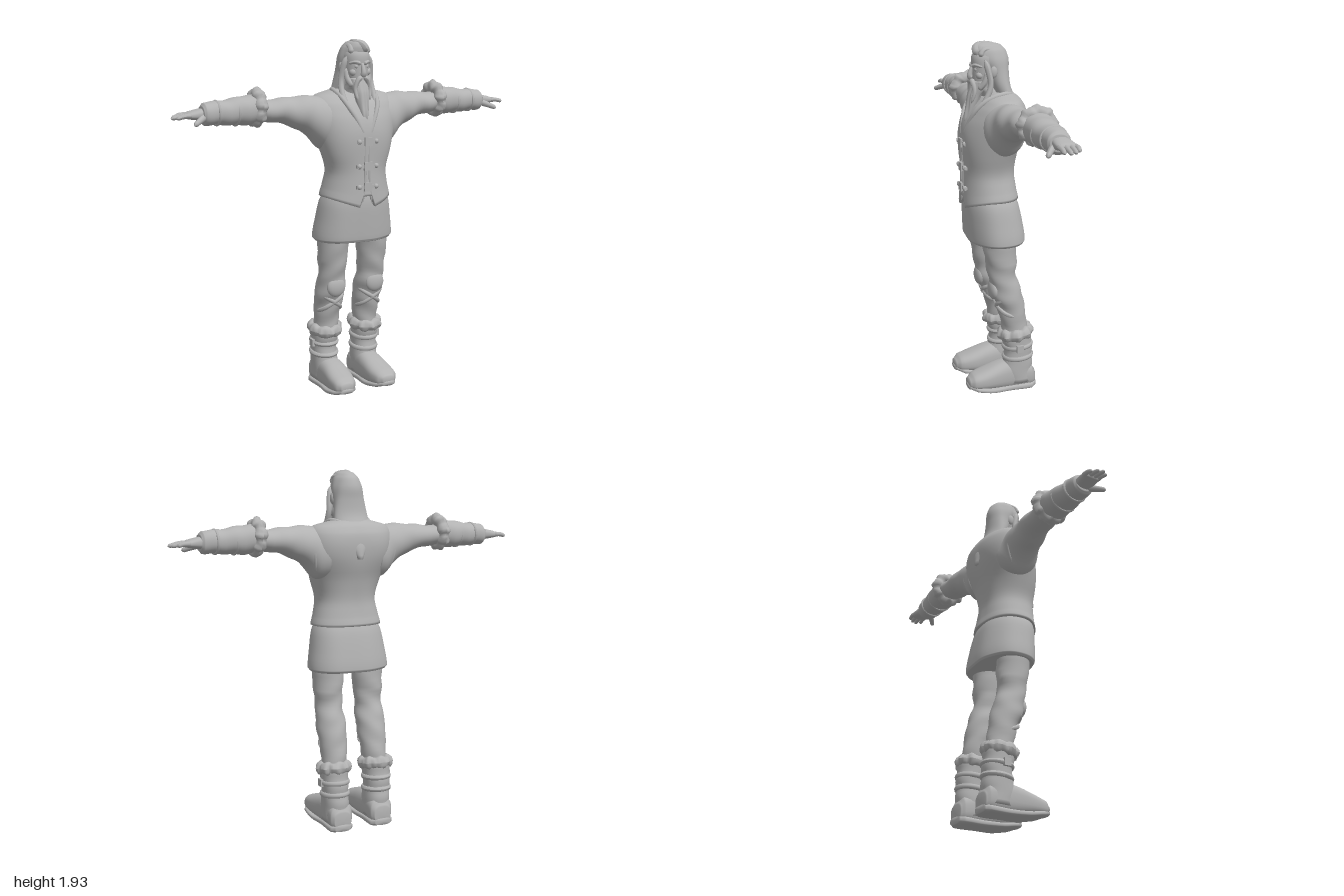
import * as THREE from 'three';

const clay = new THREE.MeshStandardMaterial({ color: 0xb2b2b2, side: THREE.DoubleSide });
clay.name = 'clay grey';

// Smooth skin over superelliptic sections [pos, cu, cv, ru, rv], in rising order.
// (u, v) is (z, x) for axis y, (y, z) for axis x and (x, y) for axis z.
function loft(axis, rows, { seg = 36, n = 2, sub = 4, warp = null } = {}) {
  const pos = [], idx = [], rings = [];
  const steps = (rows.length - 1) * sub;
  for (let i = 0; i <= steps; i++) {
    const k = Math.min(Math.floor(i / sub), rows.length - 2), t = i / sub - k;
    const at = (r) => rows[Math.max(0, Math.min(rows.length - 1, r))];
    rings.push(rows[0].map((_, c) => c === 0
      ? at(k)[0] + (at(k + 1)[0] - at(k)[0]) * t
      : catmull(at(k - 1)[c], at(k)[c], at(k + 1)[c], at(k + 2)[c], t)));
  }
  const put = (p, u, v) => {
    const q = axis === 'y' ? [v, p, u] : axis === 'x' ? [p, u, v] : [u, v, p];
    const w = new THREE.Vector3(...q);
    if (warp) warp(w);
    pos.push(w.x, w.y, w.z);
  };
  const pw = (c) => Math.sign(c) * Math.abs(c) ** (2 / n);
  for (const [p, cu, cv, ru, rv] of rings)
    for (let j = 0; j < seg; j++) {
      const a = (j / seg) * Math.PI * 2;
      put(p, cu + ru * pw(Math.cos(a)), cv + rv * pw(Math.sin(a)));
    }
  for (let i = 0; i < steps; i++)
    for (let j = 0; j < seg; j++) {
      const a = i * seg + j, b = i * seg + (j + 1) % seg;
      idx.push(a, b, a + seg, b, b + seg, a + seg);
    }
  const first = rings[0], last = rings[steps], c = pos.length / 3;
  put(first[0], first[1], first[2]);
  put(last[0], last[1], last[2]);
  for (let j = 0; j < seg; j++) {
    const k = (j + 1) % seg;
    idx.push(c, k, j, c + 1, steps * seg + j, steps * seg + k);
  }
  const g = new THREE.BufferGeometry();
  g.setAttribute('position', new THREE.Float32BufferAttribute(pos, 3));
  g.setIndex(idx);
  g.computeVertexNormals();
  return g;
}
function catmull(a, b, c, d, t) {
  const m0 = (c - a) / 2, m1 = (d - b) / 2, t2 = t * t, t3 = t2 * t;
  return (2 * t3 - 3 * t2 + 1) * b + (t3 - 2 * t2 + t) * m0 + (3 * t2 - 2 * t3) * c + (t3 - t2) * m1;
}

// Tapered strand with rounded ends through a few points
function strand(points, r0, r1 = r0, seg = 16) {
  const path = new THREE.CatmullRomCurve3(points.map((p) => new THREE.Vector3(...p)));
  const g = new THREE.TubeGeometry(path, seg, 1, 10);
  const p = g.attributes.position, v = new THREE.Vector3();
  for (let i = 0; i < p.count; i++) {
    const t = Math.floor(i / 11) / seg, c = path.getPointAt(t);
    const end = Math.sqrt(Math.max(0, Math.min(1, t * seg / 2, (1 - t) * seg / 2)));
    v.fromBufferAttribute(p, i).sub(c).multiplyScalar((r0 + (r1 - r0) * t) * end).add(c);
    p.setXYZ(i, v.x, v.y, v.z);
  }
  g.computeVertexNormals();
  return g;
}

// Lumpy fur ring lying around the z axis
function furRing(R, r) {
  const g = new THREE.TorusGeometry(R, r, 12, 56), p = g.attributes.position;
  for (let i = 0; i < p.count; i++) {
    const a = Math.atan2(p.getY(i), p.getX(i));
    const k = 1 + 0.05 * Math.sin(9 * a + 40 * p.getZ(i)) + 0.03 * Math.sin(17 * a);
    p.setXYZ(i, p.getX(i) * k, p.getY(i) * k, p.getZ(i) * (1 + 0.15 * Math.sin(7 * a)));
  }
  g.computeVertexNormals();
  return g;
}

function mirrored(geo) {
  const g = geo.clone().scale(-1, 1, 1), ix = g.index;
  for (let i = 0; i < ix.count; i += 3) {
    const a = ix.getX(i);
    ix.setX(i, ix.getX(i + 1));
    ix.setX(i + 1, a);
  }
  g.computeVertexNormals();
  return g;
}

export function createModel() {
  const model = new THREE.Group();
  model.name = 'bearded man';
  const add = (name, geo) => {
    const m = new THREE.Mesh(geo, clay);
    m.name = name;
    model.add(m);
  };
  const pair = (name, geo) => { add(name + 'Left', geo); add(name + 'Right', mirrored(geo)); };

  // Vest: the front hem drops to two points with a notch between them
  add('vest', loft('y', [
    [1.11, 0.028, 0, 0.15, 0.195], [1.16, 0.033, 0, 0.143, 0.182], [1.25, 0.04, 0, 0.137, 0.166],
    [1.35, 0.033, 0, 0.147, 0.193], [1.45, 0.015, 0, 0.162, 0.225], [1.53, 0.002, 0, 0.158, 0.242],
    [1.6, -0.012, 0, 0.135, 0.238], [1.645, -0.022, 0, 0.1, 0.205], [1.675, -0.03, 0, 0.06, 0.1],
  ], { seg: 64, n: 2.25, warp: (p) => {
    const low = Math.max(0, 1 - (p.y - 1.11) / 0.1);
    const x = Math.abs(p.x);
    if (p.z > 0.04) p.y -= low * (x < 0.03 ? -0.01 : 0.055 * Math.max(0, 1 - (x - 0.03) / 0.16));
    p.z += 0.003 * Math.sin(18 * p.y + 14 * x);
  } }));
  pair('collar', strand([[0.07, 1.66, -0.09], [0.105, 1.67, -0.02], [0.105, 1.645, 0.065], [0.085, 1.59, 0.125],
    [0.045, 1.51, 0.158], [0.012, 1.43, 0.174]], 0.014, 0.011, 24));
  pair('frontEdge', strand([[0.012, 1.43, 0.173], [0.012, 1.3, 0.173], [0.014, 1.2, 0.173], [0.028, 1.08, 0.172]], 0.008));
  pair('armhole', strand([[0.215, 1.4, 0.05], [0.235, 1.5, 0.085], [0.235, 1.58, 0.07], [0.23, 1.637, 0],
    [0.235, 1.59, -0.08], [0.235, 1.5, -0.095], [0.215, 1.4, -0.06]], 0.009, 0.009, 28));

  // Clasps
  for (const y of [1.41, 1.28, 1.17]) {
    add('claspStrap', new THREE.BoxGeometry(0.13, 0.018, 0.02).translate(0, y, 0.174));
    add('claspToggle', new THREE.BoxGeometry(0.045, 0.045, 0.018).translate(0, y, 0.181));
    pair('claspKnot', new THREE.SphereGeometry(0.014, 12, 8).translate(0.05, y, 0.177));
  }

  // Tunic skirt
  add('skirt', loft('y', [
    [0.865, 0, 0, 0.145, 0.215], [0.88, 0, 0, 0.153, 0.225], [0.98, 0.01, 0, 0.15, 0.212],
    [1.08, 0.022, 0, 0.141, 0.194], [1.16, 0.03, 0, 0.12, 0.16],
  ], { seg: 48, n: 2.3, warp: (p) => { p.z += 0.003 * Math.sin(30 * p.x); } }));

  // Sleeves, gauntlets and fur cuffs
  pair('sleeve', loft('x', [
    [0.14, 1.49, 0, 0.14, 0.12], [0.2, 1.505, 0, 0.138, 0.112], [0.25, 1.533, -0.003, 0.114, 0.1],
    [0.3, 1.553, -0.008, 0.093, 0.094], [0.36, 1.567, -0.014, 0.077, 0.086],
    [0.44, 1.575, -0.02, 0.061, 0.08], [0.53, 1.577, -0.028, 0.055, 0.075],
  ], { warp: (p) => { p.z += 0.003 * Math.sin(45 * p.x + 20 * p.y); p.y += 0.003 * Math.sin(50 * p.x); } }));
  pair('cuff', furRing(0.067, 0.033).scale(1.05, 1, 1).rotateY(Math.PI / 2).rotateZ(0.08).translate(0.54, 1.595, -0.033));
  pair('gauntlet', loft('x', [
    [0.53, 1.588, -0.03, 0.07, 0.08], [0.6, 1.585, -0.03, 0.075, 0.082], [0.68, 1.58, -0.028, 0.067, 0.075],
    [0.76, 1.578, -0.026, 0.06, 0.065], [0.825, 1.578, -0.025, 0.057, 0.06], [0.84, 1.576, -0.025, 0.04, 0.048],
  ], { n: 2.2, warp: (p) => { p.y += 0.003 * Math.sin(60 * p.x + 15 * p.z); } }));
  for (const x of [0.66, 0.76])
    pair('gauntletBand', new THREE.TorusGeometry(0.066 - (x - 0.66) * 0.06, 0.007, 8, 32)
      .scale(1.1, 1, 1).rotateY(Math.PI / 2).translate(x, 1.578, -0.027));
  pair('palm', loft('x', [
    [0.8, 1.575, -0.028, 0.034, 0.04], [0.85, 1.575, -0.03, 0.029, 0.047],
    [0.9, 1.573, -0.033, 0.02, 0.05], [0.925, 1.571, -0.034, 0.013, 0.045],
  ], { n: 2.5 }));
  [[-0.073, 0.965], [-0.047, 0.99], [-0.02, 1], [0.006, 0.98]].forEach(([z, tip]) =>
    pair('finger', strand([[0.895, 1.574, z], [0.94, 1.572, z], [tip, 1.562, z + 0.003]], 0.0145, 0.01)));
  pair('thumb', strand([[0.83, 1.565, 0], [0.87, 1.548, 0.035], [0.905, 1.532, 0.062]], 0.019, 0.012));

  // Trousers
  pair('leg', loft('y', [
    [0.34, -0.08, 0.125, 0.07, 0.065], [0.45, -0.068, 0.12, 0.074, 0.073], [0.53, -0.047, 0.12, 0.08, 0.08],
    [0.6, -0.027, 0.12, 0.086, 0.08], [0.67, -0.008, 0.12, 0.076, 0.073], [0.76, 0, 0.12, 0.085, 0.08],
    [0.92, 0.01, 0.118, 0.095, 0.088],
  ], { warp: (p) => { p.z += 0.004 * Math.sin(50 * p.y + 30 * p.x); p.x += 0.002 * Math.sin(60 * p.y); } }));
  // Crossed wraps below the knee
  for (const s of [-1, 1])
    pair('legWrap', strand([[0.12 + s * 0.075, 0.57, -0.03], [0.12 + s * 0.04, 0.54, 0.022],
      [0.12 - s * 0.04, 0.485, 0.005], [0.12 - s * 0.072, 0.45, -0.06]], 0.012));
  pair('kneePad', new THREE.SphereGeometry(1, 20, 14).scale(0.055, 0.055, 0.025).translate(0.12, 0.605, 0.045));

  // Boots
  pair('bootShaft', loft('y', [
    [0.05, -0.1, 0.125, 0.082, 0.068], [0.14, -0.092, 0.125, 0.088, 0.07], [0.21, -0.1, 0.128, 0.077, 0.068],
    [0.28, -0.095, 0.128, 0.08, 0.071], [0.35, -0.085, 0.128, 0.082, 0.074],
  ], { n: 2.3, warp: (p) => { p.z += 0.003 * Math.sin(70 * p.y); } }));
  pair('bootFur', furRing(0.069, 0.029).rotateX(Math.PI / 2).scale(0.97, 1.15, 1.03).rotateX(0.14).translate(0.127, 0.343, -0.083));
  for (const [y, z] of [[0.2, -0.098], [0.265, -0.096]])
    pair('bootStrap', new THREE.TorusGeometry(0.074, 0.011, 8, 36).rotateX(Math.PI / 2)
      .scale(0.96, 1.3, 1.05).rotateX(0.08).translate(0.127, y, z));
  pair('bootBuckle', new THREE.BoxGeometry(0.016, 0.04, 0.04).translate(0.205, 0.265, -0.085));
  const turnOut = (p) => { p.x += 0.06 * Math.max(0, p.z); };
  pair('foot', loft('z', [
    [-0.19, 0.122, 0.065, 0.048, 0.045], [-0.165, 0.122, 0.082, 0.066, 0.072], [-0.06, 0.122, 0.095, 0.067, 0.085],
    [0.02, 0.12, 0.092, 0.071, 0.076], [0.1, 0.118, 0.084, 0.073, 0.058], [0.165, 0.118, 0.078, 0.062, 0.042],
    [0.195, 0.118, 0.074, 0.035, 0.022],
  ], { n: 2.6, warp: turnOut }));
  pair('sole', loft('z', [
    [-0.195, 0.122, 0.026, 0.045, 0.018], [-0.165, 0.122, 0.022, 0.07, 0.022], [-0.05, 0.122, 0.022, 0.066, 0.02],
    [0.06, 0.12, 0.026, 0.077, 0.018], [0.15, 0.118, 0.042, 0.07, 0.016], [0.196, 0.118, 0.055, 0.035, 0.013],
  ], { n: 3, warp: turnOut }));

  // Head and face
  add('head', loft('y', [
    [1.6, -0.01, 0, 0.06, 0.062], [1.67, 0.015, 0, 0.06, 0.056], [1.705, 0.045, 0, 0.066, 0.05],
    [1.75, 0.042, 0, 0.075, 0.064], [1.8, 0.04, 0, 0.078, 0.07], [1.86, 0.036, 0, 0.08, 0.07], [1.91, 0.03, 0, 0.05, 0.045],
  ], { n: 2.2 }));
  add('nose', strand([[0, 1.815, 0.112], [0, 1.785, 0.126], [0, 1.758, 0.13], [0, 1.747, 0.118]], 0.008, 0.017));
  pair('brow', strand([[0.008, 1.808, 0.118], [0.035, 1.818, 0.108], [0.062, 1.81, 0.08]], 0.012, 0.007));
  pair('eye', new THREE.SphereGeometry(0.011, 14, 10).translate(0.03, 1.795, 0.105));
  pair('cheek', new THREE.SphereGeometry(1, 16, 12).scale(0.022, 0.02, 0.02).translate(0.04, 1.765, 0.09));
  pair('ear', new THREE.SphereGeometry(1, 14, 10).scale(0.012, 0.03, 0.02).translate(0.078, 1.785, 0.025));

  // Long hair swept back, side locks and front quiff
  add('hair', loft('y', [
    [1.47, -0.145, 0, 0.02, 0.015], [1.55, -0.115, 0, 0.04, 0.065], [1.63, -0.065, 0, 0.055, 0.096],
    [1.7, -0.032, 0, 0.055, 0.095], [1.78, -0.013, 0, 0.066, 0.084], [1.84, 0.01, 0, 0.09, 0.08],
    [1.89, 0.025, 0, 0.088, 0.065], [1.918, 0.035, 0, 0.068, 0.043], [1.93, 0.04, 0, 0.03, 0.015],
  ], { seg: 48, warp: (p) => { p.x *= 1 + 0.02 * Math.sin(90 * p.z); } }));
  pair('sideLock', strand([[0.068, 1.85, 0.07], [0.08, 1.79, 0.055], [0.088, 1.72, 0.045], [0.092, 1.65, 0.07], [0.085, 1.59, 0.11]], 0.016, 0.014));
  add('quiff', strand([[0.035, 1.868, 0.1], [0.01, 1.905, 0.1], [-0.01, 1.915, 0.06], [-0.01, 1.912, 0]], 0.022, 0.018));
  pair('quiffLock', strand([[0.05, 1.86, 0.09], [0.045, 1.893, 0.07], [0.04, 1.9, 0.01]], 0.016, 0.014));

  // Beard and moustache
  add('beard', loft('y', [
    [1.49, 0.15, 0, 0.006, 0.005], [1.54, 0.143, 0, 0.02, 0.02], [1.6, 0.122, 0, 0.03, 0.032],
    [1.66, 0.105, 0, 0.036, 0.042], [1.7, 0.085, 0, 0.042, 0.052], [1.735, 0.075, 0, 0.04, 0.056],
  ], { warp: (p) => { p.z += 0.003 * Math.sin(260 * p.x); } }));
  pair('moustache', strand([[0.002, 1.743, 0.125], [0.025, 1.728, 0.122], [0.042, 1.68, 0.118], [0.036, 1.62, 0.135]], 0.015, 0.007));
  pair('sideburn', strand([[0.068, 1.79, 0.055], [0.062, 1.73, 0.07], [0.04, 1.69, 0.095]], 0.013, 0.016));

  return model;
}
